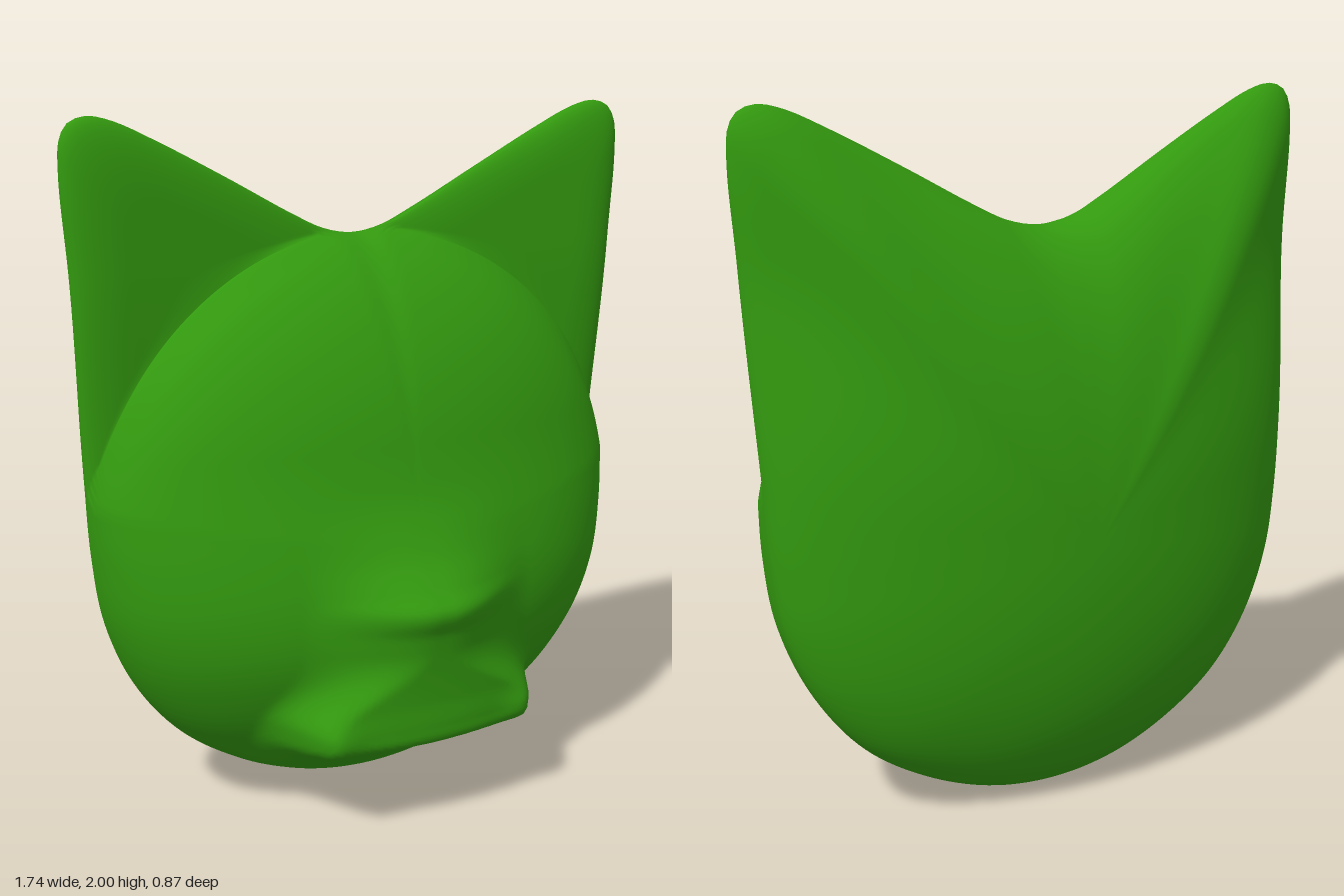
import * as THREE from 'three';

const CY = 0.82;      // height of the pole all cross-sections radiate from
const DOME = 0.84;    // radius of the round face
const SEG = 256;      // steps around the outline
const { smoothstep, lerp } = THREE.MathUtils;

// Right half of the head outline, from chin over the ear tip to the dip between the ears
const HALF = [
  [0, 0], [0.2, 0.025], [0.4, 0.105], [0.58, 0.23], [0.71, 0.4], [0.79, 0.6], [0.82, 0.8],
  [0.83, 1.0], [0.84, 1.2], [0.858, 1.6], [0.872, 1.85], [0.865, 1.945], [0.84, 1.985],
  [0.79, 2.0], [0.72, 1.985], [0.6, 1.93], [0.4, 1.825], [0.2, 1.715], [0.1, 1.668], [0, 1.65],
];

// Height of the nose and muzzle above the plain face, by y
const SNOUT = [
  [0.06, 0], [0.19, 0.055], [0.235, 0.115], [0.255, 0.155], [0.275, 0.178], [0.32, 0.16],
  [0.4, 0.122], [0.5, 0.095], [0.6, 0.095], [0.65, 0.115], [0.68, 0.115], [0.72, 0.083],
  [0.8, 0.035], [0.9, 0.008], [1.0, 0],
];

function outline() {
  const mirrored = HALF.slice(1, -1).reverse().map(([x, y]) => [-x, y]);
  const pts = [...HALF, ...mirrored].map(([x, y]) => new THREE.Vector3(x, y, 0));
  return new THREE.CatmullRomCurve3(pts, true, 'centripetal').getSpacedPoints(SEG).slice(0, SEG);
}

// Smooth interpolation through a table of [position, value]
function sample(table, p) {
  const n = table.length - 1;
  if (p <= table[0][0] || p >= table[n][0]) return 0;
  const i = table.findIndex((row) => row[0] > p) - 1;
  const slope = (k) => (k <= 0 || k >= n ? 0
    : (table[k + 1][1] - table[k - 1][1]) / (table[k + 1][0] - table[k - 1][0]));
  const [x0, a] = table[i], [x1, b] = table[i + 1];
  const h = x1 - x0, u = (p - x0) / h, u2 = u * u, u3 = u2 * u;
  return a * (2 * u3 - 3 * u2 + 1) + b * (3 * u2 - 2 * u3)
    + h * (slope(i) * (u3 - 2 * u2 + u) + slope(i + 1) * (u3 - u2));
}

// Larger of two heights, with a fillet of size k where they meet
function softMax(a, b, k) {
  const h = Math.max(0, k - Math.abs(a - b));
  return Math.max(a, b) + (k > 0 ? (h * h) / (4 * k) : 0);
}

// Depth of the middle sheet that carries the outline; ears lean forward at the tips
function rimZ(x, y) {
  return -0.14 + 0.03 * smoothstep(y, 0, 0.9)
    + 0.035 * smoothstep(y, 0.9, 1.6) * Math.abs(x) / 0.87;
}

// Rounded edge profile: 1 inside, falling to 0 at the outline
function lipAt(t, width) {
  const q = Math.min(1, width * Math.max(0, 1 - t * t));
  return Math.sqrt(q * (2 - q));
}

// Nose, muzzle and raised mouth corners
function snout(x, y) {
  const ax = Math.abs(x);
  const k = smoothstep(y, 0.33, 0.55);
  const width = 1 - smoothstep(ax, lerp(0.3, 0.02, k), lerp(0.45, 0.37, k));
  const corner = 0.02 * Math.exp(-(((ax - 0.31) / 0.07) ** 2) - ((y - 0.31) / 0.05) ** 2);
  return sample(SNOUT, y) * width + corner;
}

// Domed face, full at the cheeks, that blends into the flat ear fronts
function frontOffset(p, x, y, t, reach) {
  const lip = lipAt(t, 3);
  const ear = lip * (0.012 + 0.045 * Math.abs(x) / 0.87);
  const td = t * Math.max(1, reach / DOME);
  const bulge = 1 - td * td;
  const ny = (p.y - CY) / reach;
  const power = 0.42 + (ny > 0 ? 0.24 : 0.14) * ny * ny;
  const height = 0.37 + 0.1 * (1 - smoothstep(y, 0.45, 1.1));
  const dome = height * Math.sign(bulge) * Math.abs(bulge) ** power + snout(x, y);
  return softMax(dome, ear, 0.07 * lip);
}

// Domed back, thinning towards the rounded ear tips
function backOffset(p, t, reach) {
  const up = Math.max(0, (p.y - CY) / reach);
  const ear = smoothstep(reach, 0.8, 1.38);
  const power = 0.56 - 0.05 * up ** 4 + 0.4 * ear;
  const round = Math.max(0, 1 - t * t);
  return -(0.32 - 0.02 * ear * t) * round ** power - 0.02 * ear * t * lipAt(t, 8);
}

// Joins rings of points into one smooth surface
function ringSurface(rings, pointAt) {
  const pos = [], index = [];
  for (let k = 0; k <= rings; k++) {
    for (let i = 0; i < SEG; i++) pos.push(...pointAt(k, i));
  }
  for (let k = 0; k < rings; k++) {
    for (let i = 0; i < SEG; i++) {
      const j = (i + 1) % SEG;
      const a = k * SEG + i, b = k * SEG + j, c = a + SEG, d = b + SEG;
      index.push(a, c, d, a, d, b);
    }
  }
  const geo = new THREE.BufferGeometry();
  geo.setAttribute('position', new THREE.Float32BufferAttribute(pos, 3));
  geo.setIndex(index);
  geo.computeVertexNormals();
  return geo;
}

export function createModel() {
  const group = new THREE.Group();
  group.name = 'catHead';
  const green = new THREE.MeshStandardMaterial({ color: 0x33990f });
  green.name = 'leafGreen';

  const rim = outline();
  const reach = rim.map((p) => Math.hypot(p.x, p.y - CY));
  const ease = (u) => Math.sin(u * Math.PI / 2);

  // Rings run over the face, then the ear fronts, round the rim and over the back
  const FACE = 90, EAR = 24, BACK = 45;
  const head = ringSurface(FACE + EAR + BACK, (k, i) => {
    const edge = Math.min(0.97, DOME / reach[i]);
    let t;
    if (k <= FACE) t = edge * ease(k / FACE);
    else if (k <= FACE + EAR) t = edge + (1 - edge) * ease((k - FACE) / EAR);
    else t = ease((FACE + EAR + BACK - k) / BACK);
    const x = rim[i].x * t, y = CY + (rim[i].y - CY) * t;
    const offset = k <= FACE + EAR
      ? frontOffset(rim[i], x, y, t, reach[i])
      : backOffset(rim[i], t, reach[i]);
    return [x, y, rimZ(x, y) + offset];
  });
  const mesh = new THREE.Mesh(head, green);
  mesh.name = 'head';
  group.add(mesh);

  return group;
}
